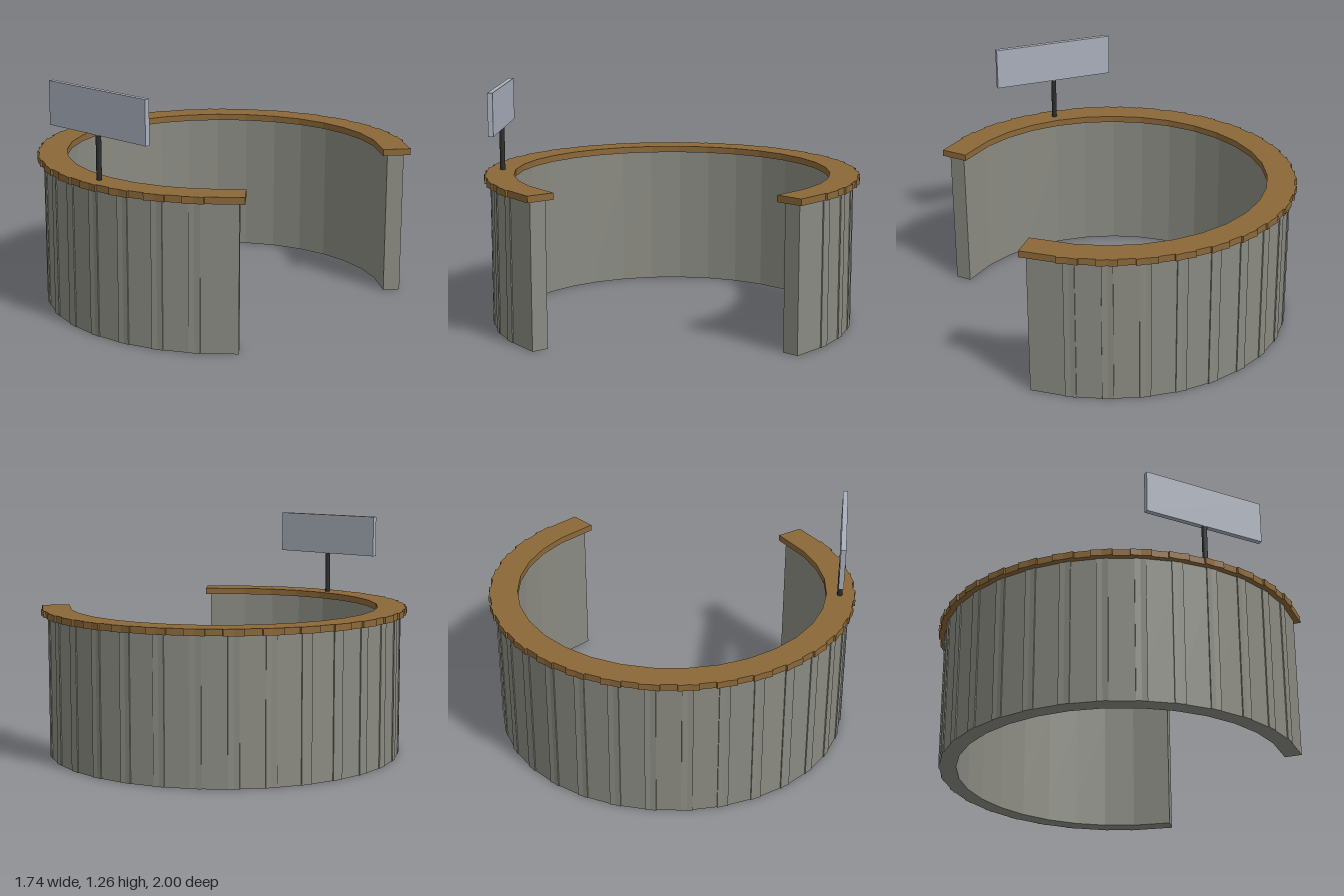
import * as THREE from 'three';

const CENTRE_X = 0.1275;   // ring is open on +x, so its centre sits off the origin
const RING_RADIUS = 0.913;
const STEPS = 32;          // segments in a full circle
const GAP = 8;             // segments left out for the entrance

const flat = (name, color) => {
  const m = new THREE.MeshStandardMaterial({ color });
  m.name = name;
  return m;
};

// Ring of overlapping straight segments with an entrance on +x
function segmentRing(name, width, depth, bottom, top, material) {
  const ring = new THREE.Group();
  ring.name = name;
  const geometry = new THREE.BoxGeometry(width, top - bottom, depth);
  for (let i = GAP / 2; i < STEPS - GAP / 2; i++) {
    const a = ((i + 0.5) / STEPS) * Math.PI * 2;
    const segment = new THREE.Mesh(geometry, material);
    segment.name = name + 'Segment';
    segment.position.set(
      CENTRE_X + Math.cos(a) * RING_RADIUS,
      (bottom + top) / 2,
      Math.sin(a) * RING_RADIUS
    );
    segment.rotation.y = Math.PI / 2 - a;
    ring.add(segment);
  }
  return ring;
}

export function createModel() {
  const concrete = flat('concrete grey', 0x8a8a82);
  const wood = flat('wood brown', 0x8b6839);
  const panel = flat('panel blue grey', 0xaab0bc);
  const metal = flat('dark metal', 0x2a2e2c);

  const model = new THREE.Group();
  model.name = 'roundCounter';

  // Wall and the wider counter top on it
  model.add(segmentRing('wall', 0.247, 0.09, 0, 0.768, concrete));
  model.add(segmentRing('counterTop', 0.302, 0.15, 0.768, 0.803, wood));

  // Sign on a thin post, on the front of the counter
  const sign = new THREE.Group();
  sign.name = 'sign';
  sign.position.set(0.124, 0, RING_RADIUS);

  const post = new THREE.Mesh(new THREE.CylinderGeometry(0.014, 0.014, 0.26, 12), metal);
  post.name = 'signPost';
  post.position.y = 0.902;

  const board = new THREE.Mesh(new THREE.BoxGeometry(0.684, 0.227, 0.027), panel);
  board.name = 'signBoard';
  board.position.y = 1.1445;

  sign.add(post, board);
  model.add(sign);
  return model;
}
